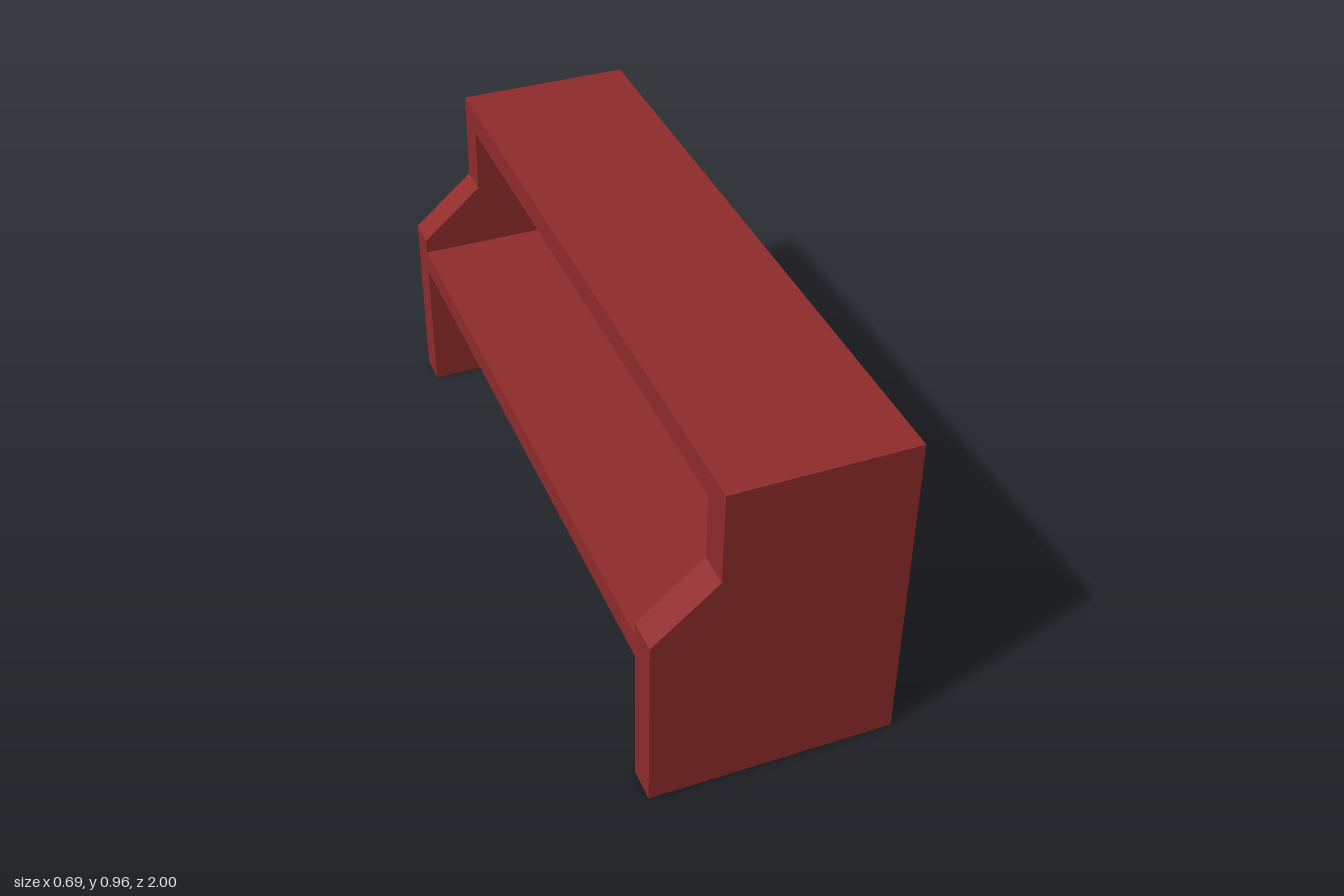
import * as THREE from 'three';

export function createModel() {
  const model = new THREE.Group();
  model.name = 'receptionDesk';
  const redWood = new THREE.MeshStandardMaterial({ color: 0x902b2b });
  redWood.name = 'redWood';

  const back = -0.345, front = 0.345, height = 0.957;
  const endThickness = 0.096, panelThickness = 0.022;
  const innerLength = 2 - 2 * endThickness;

  // Stepped end panels, extruded along z
  const profile = new THREE.Shape([
    [back, 0], [front, 0], [front, height], [-0.163, height], [-0.165, 0.69], [back, 0.536],
  ].map(([x, y]) => new THREE.Vector2(x, y)));
  const endGeometry = new THREE.ExtrudeGeometry(profile, { depth: endThickness, bevelEnabled: false });
  for (const [name, z] of [['frontEndPanel', 1 - endThickness], ['backEndPanel', -1]]) {
    const end = new THREE.Mesh(endGeometry, redWood);
    end.name = name;
    end.position.z = z;
    model.add(end);
  }

  // Boards spanning between the end panels
  function addBoard(name, x0, x1, y0, y1) {
    const board = new THREE.Mesh(new THREE.BoxGeometry(x1 - x0, y1 - y0, innerLength), redWood);
    board.name = name;
    board.position.set((x0 + x1) / 2, (y0 + y1) / 2, 0);
    model.add(board);
  }
  addBoard('counterTop', -0.163, front, height - 0.076, height);
  addBoard('facePanel', front - panelThickness, front, 0, height - 0.076);
  addBoard('workSurface', back, front - panelThickness, 0.422, 0.493);

  return model;
}
